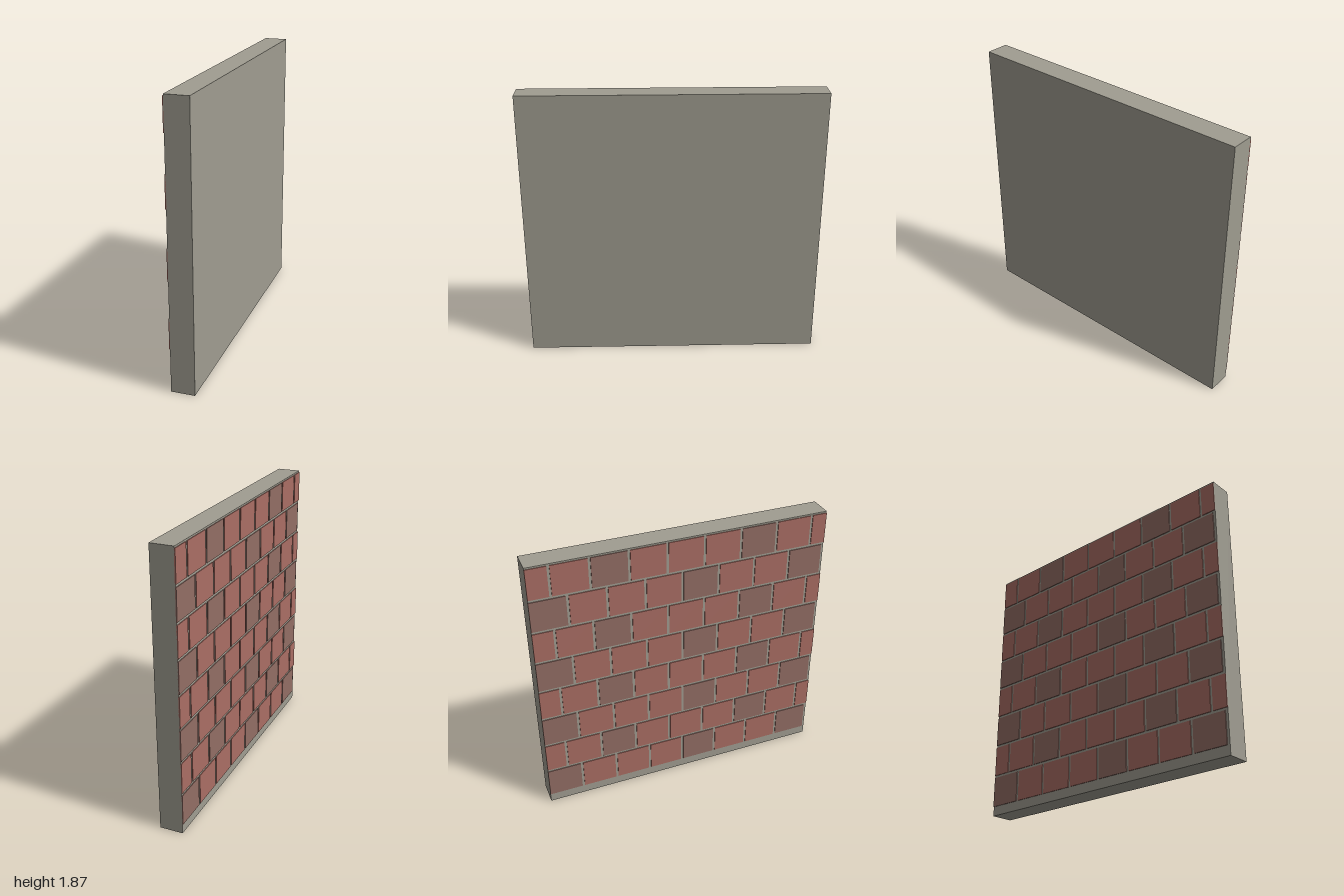
import * as THREE from 'three';

const HEIGHT = 1.87, BACK = 0.081, WALL_FACE = -0.076, BRICK_FACE = -0.081;
const ROWS = 8, PITCH_Y = 0.2263, PITCH_Z = 0.25, GAP = 0.017;

// Box given by its lower and upper corners
function boxBetween(name, min, max, material) {
  const size = max.map((v, i) => v - min[i]);
  const mesh = new THREE.Mesh(new THREE.BoxGeometry(...size), material);
  mesh.position.set(...max.map((v, i) => (v + min[i]) / 2));
  mesh.name = name;
  return mesh;
}

export function createModel() {
  const wall = new THREE.Group();
  wall.name = 'brickWall';
  const mortar = new THREE.MeshStandardMaterial({ color: 0xa09d91 });
  const red = new THREE.MeshStandardMaterial({ color: 0xaa6e64 });
  const dark = new THREE.MeshStandardMaterial({ color: 0x936e65 });

  // Plain slab behind the bricks
  wall.add(boxBetween('slab', [WALL_FACE, 0, -1], [BACK, HEIGHT, 1], mortar));

  // Thin raised bricks on the -x face, every other course shifted
  for (let row = 0; row < ROWS; row++) {
    const course = new THREE.Group();
    course.name = `course${row + 1}`;
    const shifted = row % 2 === 1;
    const darkBricks = shifted ? [2, 6] : [0, 4, 7];
    const y0 = 0.057 + row * PITCH_Y + GAP / 2;
    const y1 = y0 + PITCH_Y - GAP;
    const start = shifted ? -1.1 : -1;
    const count = shifted ? 9 : 8;
    for (let i = 0; i < count; i++) {
      const z0 = Math.max(-1, start + i * PITCH_Z);
      const z1 = Math.min(1, start + (i + 1) * PITCH_Z - GAP);
      const material = darkBricks.includes(i) ? dark : red;
      course.add(boxBetween('brick', [BRICK_FACE, y0, z0], [WALL_FACE + 0.003, y1, z1], material));
    }
    wall.add(course);
  }
  return wall;
}
